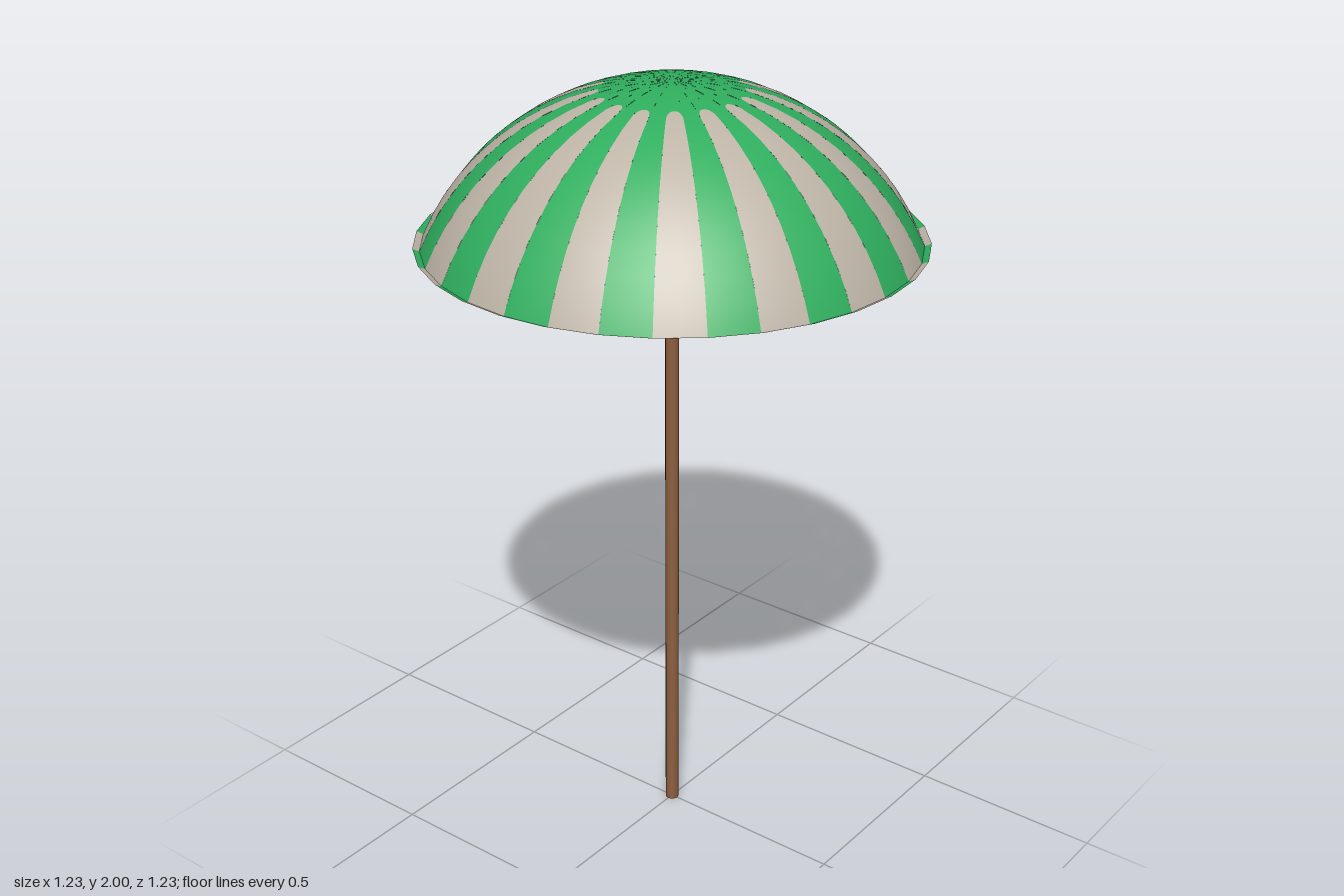
import * as THREE from 'three';
import { mergeGeometries } from 'three/addons/utils/BufferGeometryUtils.js';

const SIDES = 32, STEP = (Math.PI * 2) / SIDES;
const R = 0.6565, TOP = 2;                 // canopy sphere radius and apex height
const EDGE = Math.asin(0.6 / R);           // angle from the apex to the canopy edge

// One straight-sided panel k; profile(u, v) gives [radius, y, normalOut, normalUp]
function panel(k, nu, nv, profile) {
  const geo = new THREE.PlaneGeometry(1, 1, nu, nv);
  const { position, normal, uv } = geo.attributes;
  const a = k * STEP, b = a + STEP;
  for (let i = 0; i < position.count; i++) {
    const u = uv.getX(i), v = 1 - uv.getY(i);
    const [r, y, out, up] = profile(u, v);
    const sx = THREE.MathUtils.lerp(Math.sin(a), Math.sin(b), u);
    const sz = THREE.MathUtils.lerp(Math.cos(a), Math.cos(b), u);
    position.setXYZ(i, r * sx, y, r * sz);
    const n = new THREE.Vector3(out * sx, up, out * sz).normalize();
    normal.setXYZ(i, n.x, n.y, n.z);
  }
  return geo;
}

// Point on the dome at an angle from the apex
const dome = (t) => [R * Math.sin(t), TOP - R + R * Math.cos(t), Math.sin(t), Math.cos(t)];

// Rounded inner end of a pale stripe
const notch = (u) => {
  const w = 2 * u - 1;
  return Math.asin((0.17 + 0.026 * (1 - Math.sqrt(Math.max(0, 1 - w * w)))) / R);
};

// Narrow upturned lip around the edge
const lip = (u, v) => [0.6 + 0.016 * v, 1.61 + 0.007 * v, -0.4, 0.92];

export function createModel() {
  const group = new THREE.Group();
  const mat = (name, color) => new THREE.MeshStandardMaterial({ name, color });
  const green = mat('green cloth', 0x2fae5e);
  const pale = mat('pale cloth', 0xbdb4a6);
  const wood = mat('brown wood', 0x8e6040);
  green.side = pale.side = THREE.DoubleSide;

  const greenParts = [], paleParts = [];
  for (let k = 0; k < SIDES; k++) {
    if (k % 2 === 0) {
      greenParts.push(panel(k, 1, 12, (u, v) => dome(v * EDGE)), panel(k, 1, 1, lip));
    } else {
      greenParts.push(panel(k, 10, 4, (u, v) => dome(v * notch(u))));
      paleParts.push(
        panel(k, 10, 10, (u, v) => dome(THREE.MathUtils.lerp(notch(u), EDGE, v))),
        panel(k, 1, 1, lip));
    }
  }

  const add = (name, geo, material) => {
    const mesh = new THREE.Mesh(geo, material);
    mesh.name = name;
    group.add(mesh);
    return mesh;
  };
  add('canopyGreen', mergeGeometries(greenParts), green);
  add('canopyPaleStripes', mergeGeometries(paleParts), pale);

  // Pole from the ground to just under the apex
  add('pole', new THREE.CylinderGeometry(0.0175, 0.0175, 1.98, 12), wood).position.y = 0.99;
  return group;
}
